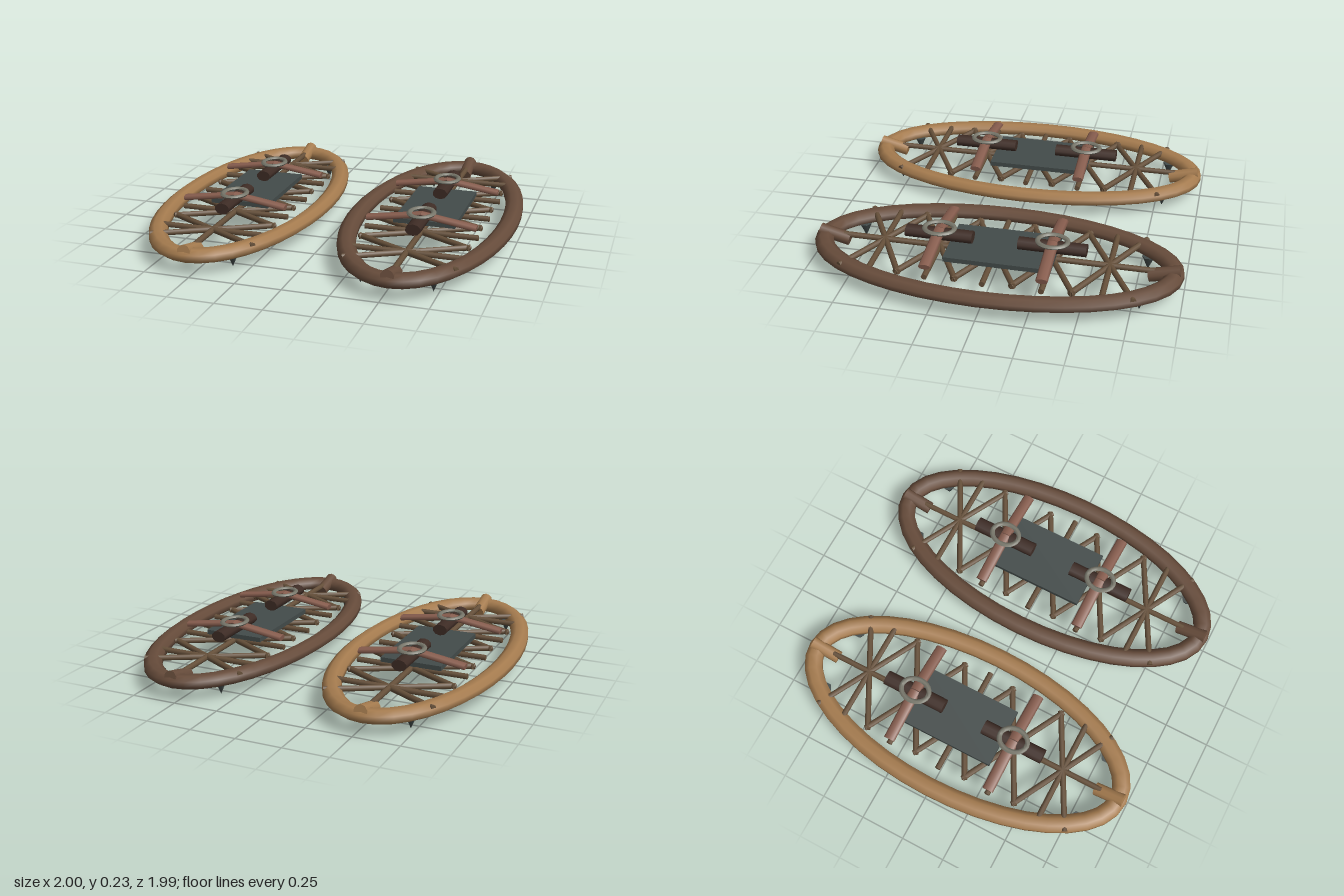
import * as THREE from 'three';
import { toCreasedNormals } from 'three/addons/utils/BufferGeometryUtils.js';

const mat = (color) => new THREE.MeshStandardMaterial({ color });
const lightWood = mat(0xa67c4f), darkWood = mat(0x674c3b), laceMat = mat(0x66503a);
const slate = mat(0x434b4a), metal = mat(0x77766a), leather = mat(0x875d4e), darkLeather = mat(0x3e2c25);

function add(parent, name, geometry, material, x = 0, y = 0, z = 0) {
  const mesh = new THREE.Mesh(geometry, material);
  mesh.name = name;
  mesh.position.set(x, y, z);
  parent.add(mesh);
  return mesh;
}

// Rod between two points, optionally flattened in its upright direction
function rod(parent, name, a, b, radius, sides, material, flat = 1) {
  const from = new THREE.Vector3(...a), to = new THREE.Vector3(...b);
  const along = to.clone().sub(from);
  const geometry = new THREE.CylinderGeometry(radius, radius, along.length(), sides);
  along.normalize();
  const side = along.clone().cross(new THREE.Vector3(0, 1, 0)).normalize();
  const up = side.clone().cross(along);
  geometry.scale(1, 1, flat);
  geometry.applyMatrix4(new THREE.Matrix4().makeBasis(side, along, up));
  const mid = from.add(to).multiplyScalar(0.5);
  return add(parent, name, geometry, material, mid.x, mid.y, mid.z);
}

// Oval hoop: even-width section swept around an ellipse
function hoopGeometry(a, b, halfWidth, halfHeight, sides, segments, turn) {
  const geometry = new THREE.TorusGeometry(1, 0.1, sides, segments);
  const p = geometry.attributes.position;
  for (let j = 0, k = 0; j <= sides; j++) {
    const v = ((j % sides) / sides) * Math.PI * 2 + turn;
    for (let i = 0; i <= segments; i++, k++) {
      const u = ((i % segments) / segments) * Math.PI * 2;
      const normal = new THREE.Vector2(Math.cos(u) / a, Math.sin(u) / b).normalize();
      const out = Math.cos(v) * halfWidth;
      p.setXYZ(k, Math.cos(u) * a + normal.x * out, Math.sin(v) * halfHeight, -(Math.sin(u) * b + normal.y * out));
    }
  }
  return toCreasedNormals(geometry, 1);
}

function createSnowshoe(wood) {
  const shoe = new THREE.Group();
  add(shoe, 'frame', hoopGeometry(0.417, 0.947, 0.053, 0.0385, 8, 40, Math.PI / 8), wood, 0, 0.1, 0);

  // Webbing: spine, cross laces and diagonal crosses
  const y = 0.117, r = 0.016;
  rod(shoe, 'spineLace', [0, y, -0.88], [0, y, 0.88], r, 8, laceMat);
  for (const z of [-0.61, -0.305, 0, 0.305, 0.61]) {
    const half = Math.abs(z) > 0.5 ? 0.29 : 0.31;
    rod(shoe, 'crossLace', [-half, y, z], [half, y, z], r, 8, laceMat);
    for (const s of [-1, 1])
      rod(shoe, 'diagonalLace', [-0.295, y, z - 0.16 * s], [0.295, y, z + 0.16 * s], r, 8, laceMat);
  }

  add(shoe, 'footPlate', new THREE.BoxGeometry(0.34, 0.026, 0.57), slate, 0, 0.144, -0.04);

  for (const s of [-1, 1]) {
    // Raised toe and tail plugs
    rod(shoe, s > 0 ? 'toePlug' : 'tailPlug', [0, 0.088, 0.813 * s], [0, 0.129, 0.978 * s], 0.036, 10, wood);

    // Binding: lengthwise pad, sloping straps and buckle ring
    const z = 0.305 * s;
    rod(shoe, 'bindingPad', [0, 0.191, z - 0.182], [0, 0.191, z + 0.182], 0.042, 10, darkLeather, 0.74);
    for (const m of [-1, 1]) {
      rod(shoe, 'strap', [0, 0.215, z], [0.298 * m, 0.17, z], 0.032, 8, leather, 0.52);
      // Ice cleats under the frame
      const cleat = add(shoe, 'cleat', new THREE.ConeGeometry(0.034, 0.08, 6), slate, 0.188 * m, 0.04, 0.79 * s);
      cleat.rotation.x = Math.PI;
    }
    add(shoe, 'buckleRing', hoopGeometry(0.064, 0.08, 0.014, 0.01, 8, 24, 0), metal, 0, 0.225, z);
  }
  return shoe;
}

export function createModel() {
  const model = new THREE.Group();
  model.name = 'snowshoes';
  for (const s of [-1, 1]) {
    const shoe = createSnowshoe(s > 0 ? darkWood : lightWood);
    shoe.name = s > 0 ? 'leftSnowshoe' : 'rightSnowshoe';
    shoe.position.x = 0.533 * s;
    model.add(shoe);
  }
  return model;
}
